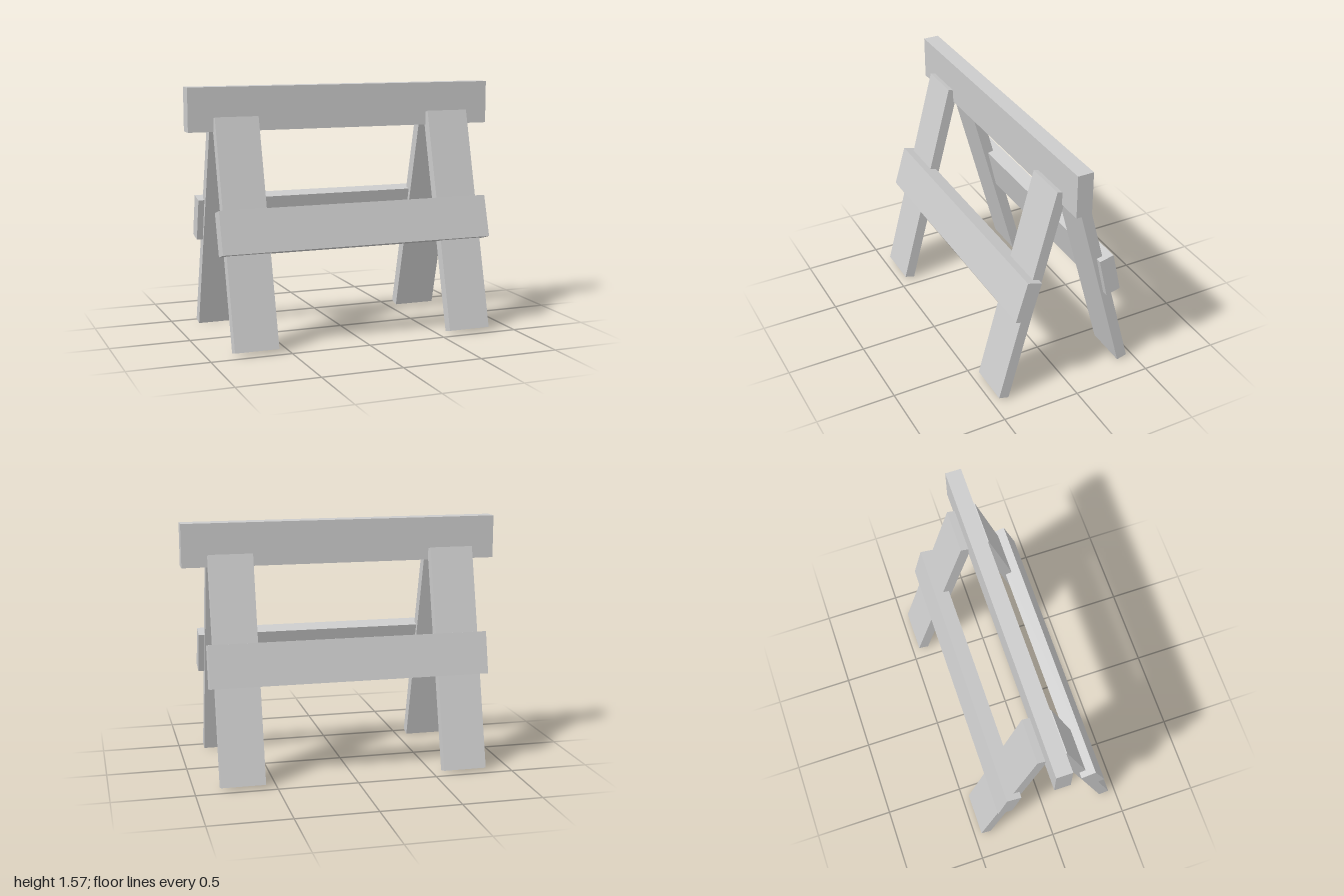
import * as THREE from 'three';

export function createModel() {
  const model = new THREE.Group();
  const material = new THREE.MeshStandardMaterial({ color: 0xcccccc, flatShading: true });

  // A straight board, tilted about the x axis by a number of degrees
  function board(name, size, position, tilt = 0) {
    const mesh = new THREE.Mesh(new THREE.BoxGeometry(...size), material);
    mesh.name = name;
    mesh.position.set(...position);
    mesh.rotation.x = THREE.MathUtils.degToRad(tilt);
    model.add(mesh);
  }

  // Top beam
  board('topBeam', [2, 0.27, 0.1], [0, 1.435, 0.006]);

  // Splayed legs, one pair at each end
  for (const [side, x] of [['left', 0.704], ['right', -0.704]]) {
    board(`${side}FrontLeg`, [0.275, 1.412, 0.066], [x, 0.7, 0.239], -15.1);
    board(`${side}BackLeg`, [0.275, 1.41, 0.067], [x, 0.694, -0.241], 14.9);
  }

  // Side rails, each at its own slight angle to the legs
  board('frontRail', [1.76, 0.267, 0.096], [0, 0.714, 0.28], -16.7);
  board('backRail', [1.76, 0.267, 0.095], [0, 0.728, -0.27], 12.8);

  return model;
}
